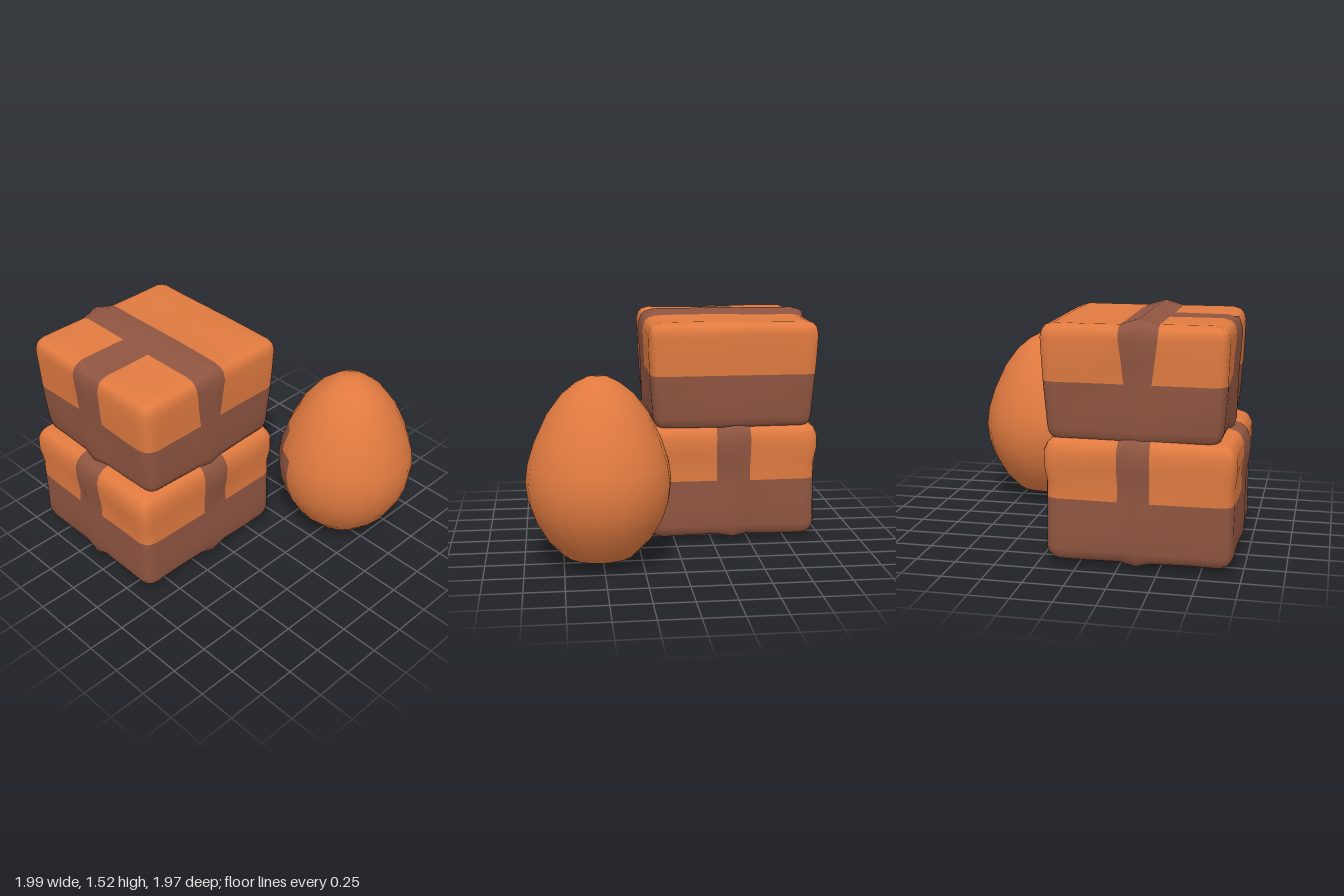
import * as THREE from 'three';

const orange = new THREE.MeshStandardMaterial({ color: 0xe07a40 });
orange.name = 'orange';
const brown = new THREE.MeshStandardMaterial({ color: 0x8f5541 });
brown.name = 'brown';
const materials = [orange, brown];

const RIBBON_X = -0.37, RIBBON_Z = -0.39;

// Linear interpolation through [y, value] pairs
function sample(profile, y) {
  for (let i = 1; i < profile.length; i++) {
    const [y0, v0] = profile[i - 1], [y1, v1] = profile[i];
    if (y <= y1) return v0 + (v1 - v0) * Math.max(0, (y - y0) / (y1 - y0));
  }
  return profile[profile.length - 1][1];
}

// Rounded box on a grid of cuts; cells are coloured by isBrown, points moved by warp
function softBlock(name, lo, hi, r, mids, isBrown, warp) {
  const cuts = [0, 1, 2].map(a => [
    lo[a], lo[a] + 0.4 * r, lo[a] + r, ...mids[a], hi[a] - r, hi[a] - 0.4 * r, hi[a],
  ]);
  const positions = [], shared = new Map(), faces = [[], []];

  function vertex(c) {
    const key = c.map(n => n.toFixed(4)).join();
    if (!shared.has(key)) {
      const q = c.map((n, a) => THREE.MathUtils.clamp(n, lo[a] + r, hi[a] - r));
      const normal = new THREE.Vector3(c[0] - q[0], c[1] - q[1], c[2] - q[2]).normalize();
      const p = new THREE.Vector3(...q).addScaledVector(normal, r);
      warp(p, normal);
      shared.set(key, positions.length / 3);
      positions.push(p.x, p.y, p.z);
    }
    return shared.get(key);
  }

  for (let a = 0; a < 3; a++) for (const side of [-1, 1]) {
    const u = (a + 1) % 3, v = (a + 2) % 3;
    for (let i = 0; i < cuts[u].length - 1; i++) for (let j = 0; j < cuts[v].length - 1; j++) {
      const at = (di, dj) => {
        const c = [0, 0, 0];
        c[a] = side < 0 ? lo[a] : hi[a];
        c[u] = cuts[u][i + di];
        c[v] = cuts[v][j + dj];
        return c;
      };
      const corners = [at(0, 0), at(1, 0), at(1, 1), at(0, 1)];
      const mid = [0, 1, 2].map(k => (corners[0][k] + corners[2][k]) / 2);
      const ids = corners.map(vertex);
      if (side < 0) ids.reverse();
      const [p0, p1, p2, p3] = ids;
      faces[isBrown(mid, a, side) ? 1 : 0].push(p0, p1, p2, p0, p2, p3);
    }
  }

  const geometry = new THREE.BufferGeometry();
  geometry.setAttribute('position', new THREE.Float32BufferAttribute(positions, 3));
  geometry.setIndex([...faces[0], ...faces[1]]);
  geometry.addGroup(0, faces[0].length, 0);
  geometry.addGroup(faces[0].length, faces[1].length, 1);
  geometry.computeVertexNormals();
  const mesh = new THREE.Mesh(geometry, materials);
  mesh.name = name;
  return mesh;
}

const within = (n, a, b) => n > a && n < b;
const ridge = (n, centre) => Math.max(0, 1 - Math.abs(n - centre) / 0.1);

// Raise a soft ridge along the ribbons, and add a slight hand-made waviness
function raise(p, n, amount, sides) {
  const facingX = Math.abs(n.x) > 0.7;
  const ridgeHeight = facingX ? (sides.includes(Math.sign(n.x)) ? ridge(p.z, RIBBON_Z) : 0) : ridge(p.x, RIBBON_X);
  const wave = 0.006 * Math.sin(5 * p.x + 7 * p.y + 1) * Math.sin(6 * p.z + 4 * p.y);
  p.addScaledVector(n, amount * ridgeHeight + wave);
}

function scaleAround(p, k) {
  p.x = RIBBON_X + (p.x - RIBBON_X) * k;
  p.z = RIBBON_Z + (p.z - RIBBON_Z) * k;
}

// Upper parcel: ribbon runs front to back, with one branch to the -x side
function upperParcel() {
  const taper = [[0.77, 0.94], [0.95, 0.96], [1.14, 0.975], [1.4, 1]];
  return softBlock('upperParcel', [-0.9, 0.77, -0.95], [0.23, 1.485, 0.18], 0.085,
    [[-0.7, -0.49, -0.37, -0.255, -0.05], [1.0, 1.14, 1.27], [-0.7, -0.51, -0.39, -0.27, -0.05]],
    (m, axis, side) => {
      if (m[1] < 1.14) return true;
      if (axis !== 0 && within(m[0], -0.49, -0.255)) return true;
      const branch = within(m[2], -0.51, -0.27) && m[0] < RIBBON_X;
      return branch && (axis === 1 || (axis === 0 && side < 0));
    },
    (p, n) => {
      // The hanging ribbon ends grow narrower downwards
      if (Math.abs(p.x - RIBBON_X) < 0.14)
        p.x = RIBBON_X + (p.x - RIBBON_X) * sample([[1.14, 0.72], [1.42, 1]], p.y);
      const y = p.y;
      raise(p, n, n.y > 0.7 ? 0.035 : 0.025, [-1]);
      scaleAround(p, sample(taper, y));
    });
}

// Lower parcel: bulging lid band with a ribbon on all four sides
function lowerParcel() {
  const bulge = [[0.03, 0.95], [0.12, 0.97], [0.43, 0.97], [0.53, 0.965], [0.68, 1.005], [0.82, 0.96]];
  return softBlock('lowerParcel', [-0.965, 0.03, -0.965], [0.215, 0.805, 0.19], 0.085,
    [[-0.7, -0.45, -0.36, -0.25, -0.05], [0.25, 0.43, 0.53, 0.63], [-0.7, -0.5, -0.39, -0.27, -0.05]],
    (m, axis) => {
      if (m[1] < 0.43) return true;
      const acrossX = within(m[0], -0.45, -0.25), acrossZ = within(m[2], -0.5, -0.27);
      return axis === 0 ? acrossZ : axis === 2 ? acrossX : acrossX || acrossZ;
    },
    (p, n) => {
      const y = p.y;
      raise(p, n, Math.abs(n.y) < 0.7 && y < 0.45 ? 0.015 : 0.03, [-1, 1]);
      scaleAround(p, sample(bulge, y));
    });
}

// Egg with a brown patch on the side that faces the parcels
function egg() {
  const profile = [
    [0, 0.035], [0.09, 0.04], [0.23, 0.085], [0.33, 0.19], [0.405, 0.32], [0.442, 0.43], [0.456, 0.55],
    [0.44, 0.67], [0.395, 0.81], [0.315, 0.98], [0.225, 1.1], [0.14, 1.17], [0.07, 1.205], [0, 1.212],
  ].map(([x, y]) => new THREE.Vector2(x, y));
  const sides = 20, rows = profile.length - 1;
  const geometry = new THREE.LatheGeometry(profile, sides);
  for (let i = 0; i < sides; i++) {
    const facing = i >= 11 && i <= 13;
    const top = i === 12 ? 8 : 7;
    geometry.addGroup(i * rows * 6, 5 * 6, 0);
    geometry.addGroup((i * rows + 5) * 6, (top - 5) * 6, facing ? 1 : 0);
    geometry.addGroup((i * rows + top) * 6, (rows - top) * 6, 0);
  }
  const mesh = new THREE.Mesh(geometry, materials);
  mesh.name = 'egg';
  mesh.position.set(0.545, 0, 0.525);
  return mesh;
}

export function createModel() {
  const model = new THREE.Group();
  model.name = 'parcelsAndEgg';
  model.add(lowerParcel(), upperParcel(), egg());
  return model;
}
